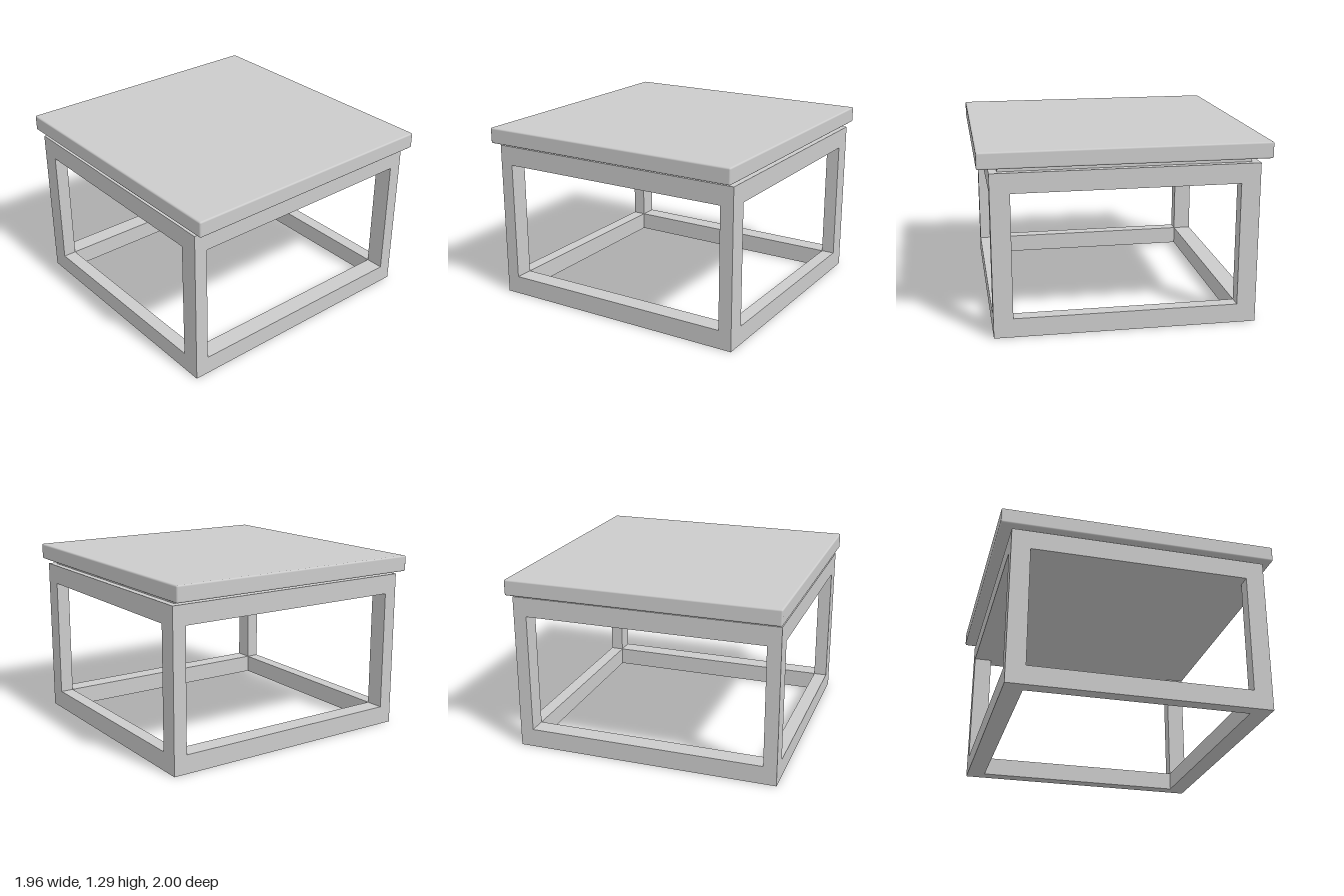
import * as THREE from 'three';
import { RoundedBoxGeometry } from 'three/addons/geometries/RoundedBoxGeometry.js';

const material = new THREE.MeshStandardMaterial({ color: 0xcccccc });

// Half sizes of the frame: outer edge and inner opening
const OUT_X = 0.965, OUT_Z = 0.92;
const IN_X = 0.868, IN_Z = 0.785;
// Heights
const RAIL_TOP = 0.135, APRON_BOTTOM = 1.01, FRAME_TOP = 1.15;
const TABLE_BOTTOM = 1.18, TABLE_TOP = 1.295;

function rectangle(PathType, hx, hz) {
  const path = new PathType();
  path.moveTo(-hx, -hz);
  path.lineTo(hx, -hz);
  path.lineTo(hx, hz);
  path.lineTo(-hx, hz);
  path.closePath();
  return path;
}

function createModel() {
  const group = new THREE.Group();

  function add(name, geometry, x, y, z) {
    const mesh = new THREE.Mesh(geometry, material);
    mesh.name = name;
    mesh.position.set(x, y, z);
    group.add(mesh);
  }

  // Box centred on x and z, between two heights
  function slab(name, hx, hz, y0, y1) {
    add(name, new THREE.BoxGeometry(hx * 2, y1 - y0, hz * 2), 0, (y0 + y1) / 2, 0);
  }

  // Floor rails as one open rectangular ring
  const ring = rectangle(THREE.Shape, OUT_X, OUT_Z);
  ring.holes.push(rectangle(THREE.Path, IN_X, IN_Z));
  const base = new THREE.ExtrudeGeometry(ring, { depth: RAIL_TOP, bevelEnabled: false });
  base.rotateX(-Math.PI / 2);
  add('baseRails', base, 0, 0, 0);

  // Four corner legs between the floor rails and the apron
  const legHeight = APRON_BOTTOM - RAIL_TOP;
  const leg = new THREE.BoxGeometry(OUT_X - IN_X, legHeight, OUT_Z - IN_Z);
  for (const [sx, xName] of [[1, 'Left'], [-1, 'Right']]) {
    for (const [sz, zName] of [[1, 'front'], [-1, 'back']]) {
      add(zName + xName + 'Leg', leg,
        sx * (OUT_X + IN_X) / 2, RAIL_TOP + legHeight / 2, sz * (OUT_Z + IN_Z) / 2);
    }
  }

  // Closed apron, recessed spacer and softly edged tabletop
  slab('apron', OUT_X, OUT_Z, APRON_BOTTOM, FRAME_TOP);
  slab('spacer', 0.92, 0.865, FRAME_TOP, TABLE_BOTTOM);
  const thickness = TABLE_TOP - TABLE_BOTTOM;
  add('tabletop', new RoundedBoxGeometry(1.964, thickness, 2, 2, 0.012),
    0, TABLE_BOTTOM + thickness / 2, 0);

  return group;
}

export { createModel };
